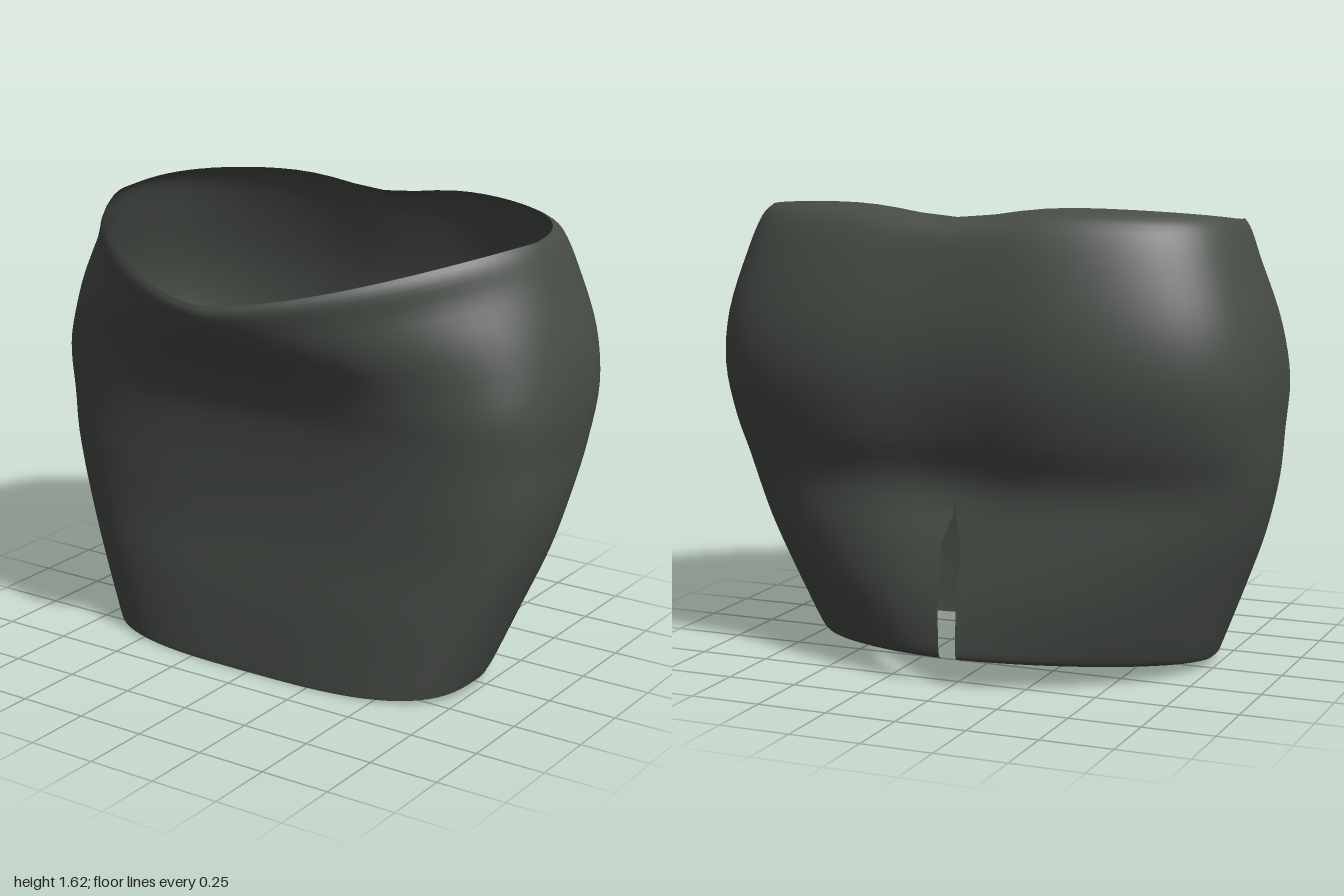
import * as THREE from 'three';
import { mergeVertices } from 'three/addons/utils/BufferGeometryUtils.js';

// Rings from hem to waist.
// Heights at front, side, back; half width; z of middle, front, back.
const SIZES = [
  [0.015, 0.045, 0.115, 0.735, 0.02, 0.385, -0.58],
  [0.06, 0.09, 0.15, 0.755, 0.01, 0.385, -0.595],
  [0.3, 0.3, 0.32, 0.84, 0, 0.375, -0.61],
  [0.5, 0.5, 0.5, 0.915, -0.03, 0.355, -0.595],
  [0.7, 0.7, 0.7, 0.965, -0.07, 0.35, -0.57],
  [0.86, 0.87, 0.87, 0.985, -0.1, 0.355, -0.625],
  [1.0, 1.05, 1.06, 1.0, -0.1, 0.375, -0.665],
  [1.13, 1.24, 1.25, 0.98, -0.1, 0.44, -0.665],
  [1.28, 1.44, 1.46, 0.92, -0.09, 0.6, -0.625],
  [1.37, 1.55, 1.6, 0.88, -0.08, 0.66, -0.57],
  [1.41, 1.59, 1.645, 0.855, -0.08, 0.655, -0.49],
];
// Roundness of front and back, depth of back crease, dip of the back edge.
const SHAPES = [
  [3.1, 1.7, 0, 0], [3.1, 1.75, 0, 0], [3.1, 1.95, 0.02, 0], [3.2, 2.15, 0.04, 0],
  [3.4, 2.4, 0.06, 0], [3.4, 2.7, 0.05, 0], [3.2, 2.9, 0.04, 0], [2.5, 2.9, 0.03, 0],
  [1.75, 2.8, 0.02, 0.02], [1.62, 2.7, 0, 0.04], [1.6, 2.6, 0, 0.045],
];
const RINGS = SIZES.map((s, i) => [...s, ...SHAPES[i]]);
const COLS = 72, ROWS = 40;

// Smooth interpolation between neighbouring rings
function ringAt(t) {
  const last = RINGS.length - 1;
  const i = Math.min(Math.floor(t * last), last - 1), f = t * last - i;
  const at = (k) => RINGS[Math.max(0, Math.min(last, k))];
  return RINGS[0].map((_, k) => {
    const a = at(i - 1)[k], b = at(i)[k], c = at(i + 1)[k], d = at(i + 2)[k];
    return b + 0.5 * f * (c - a + f * (2 * a - 5 * b + 4 * c - d + f * (3 * (b - c) + d - a)));
  });
}

// Half width of the vent in the back seam
function ventGap(y) {
  if (y > 0.62) return 0;
  if (y > 0.5) return (0.62 - y) / 0.12 * 0.037;
  return 0.03 + 0.007 * Math.max(0, (y - 0.1) / 0.4);
}

function skirtPoint(u, t) {
  const [yF, yS, yB, w, zM, zF, zB, nF, nB, crease, dip] = ringAt(t);
  const a = (u * 2 - 1) * Math.PI;
  const s = Math.sin(a), c = Math.cos(a), front = c >= 0;
  const e = 2 / (front ? nF : nB);
  const depth = Math.pow(Math.abs(c), e);
  let x = w * Math.sign(s) * Math.pow(Math.abs(s), e);
  let z = zM + ((front ? zF : zB) - zM) * depth;
  let y = yS + ((front ? yF : yB) - yS) * Math.pow(depth, front ? 1.8 : 1.2);
  if (!front) {
    const middle = Math.exp(-((x / 0.24) ** 2));
    z += crease * middle;
    y -= dip * middle;
  }
  if (u === 0 || u === 1) x = (u === 0 ? -1 : 1) * ventGap(y);
  return [x, y, z];
}

function skirtGeometry() {
  const positions = [], index = [];
  for (let j = 0; j <= ROWS; j++)
    for (let i = 0; i <= COLS; i++) positions.push(...skirtPoint(i / COLS, j / ROWS));
  for (let j = 0; j < ROWS; j++) {
    for (let i = 0; i < COLS; i++) {
      const a = j * (COLS + 1) + i, b = a + 1, d = a + COLS + 1, c = d + 1;
      index.push(a, b, c, a, c, d);
    }
  }
  const geometry = new THREE.BufferGeometry();
  geometry.setAttribute('position', new THREE.Float32BufferAttribute(positions, 3));
  geometry.setIndex(index);
  // Close the back seam above the vent
  const welded = mergeVertices(geometry, 1e-4);
  welded.computeVertexNormals();
  return welded;
}

export function createModel() {
  const fabric = new THREE.MeshStandardMaterial({ color: 0x484d47, side: THREE.DoubleSide });
  fabric.name = 'dark grey fabric';
  const skirt = new THREE.Mesh(skirtGeometry(), fabric);
  skirt.name = 'skirt';
  const group = new THREE.Group();
  group.name = 'shortSkirt';
  group.add(skirt);
  return group;
}
